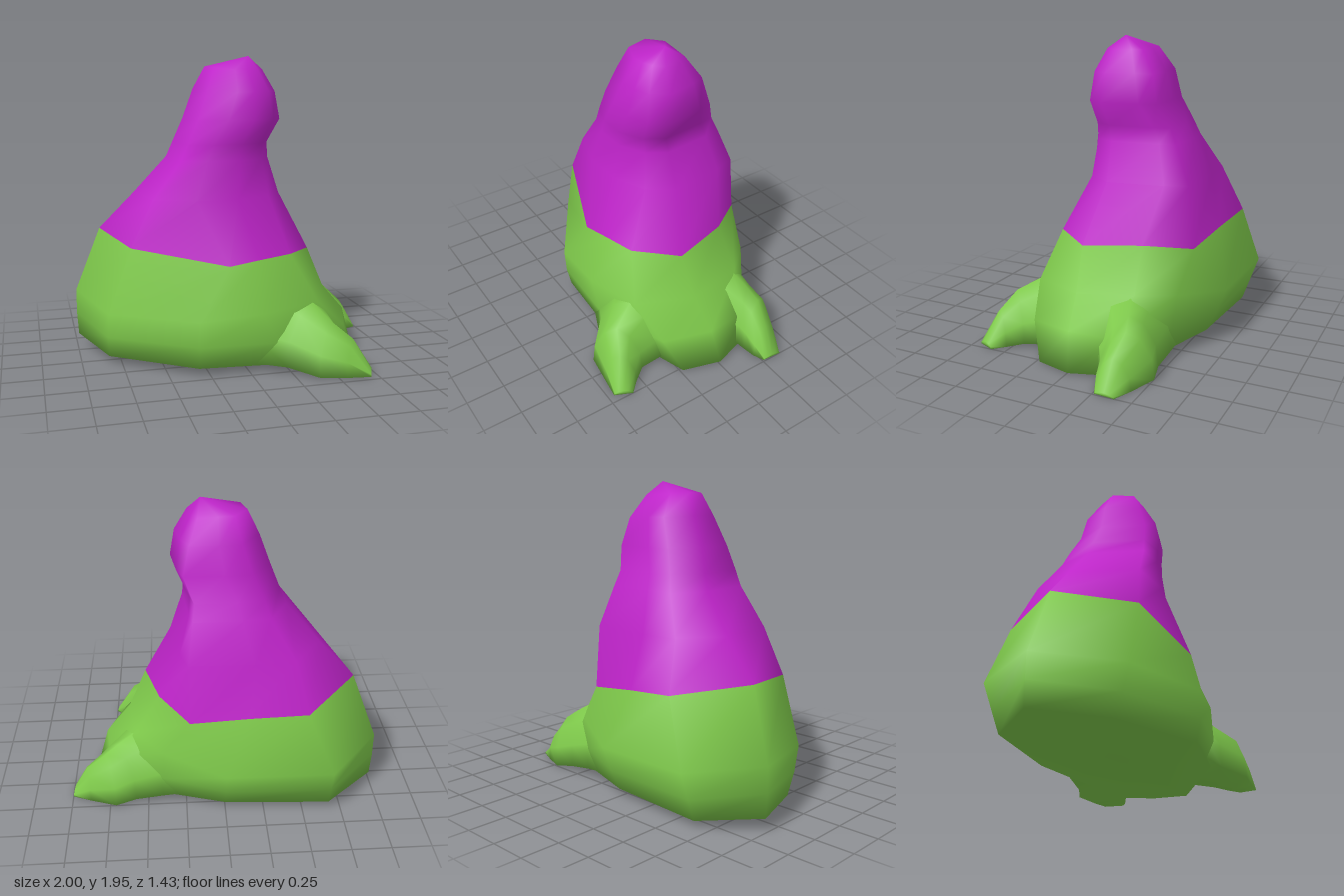
import * as THREE from 'three';

// Skin a stack of closed [x, y, z] loops, closed by a centre point at each end.
// The optional split is the loop index where the second material begins.
function loft(loops, start, end, split = loops.length) {
  const n = loops[0].length;
  const points = [...loops.flat(), start, end];
  const startId = points.length - 2, endId = points.length - 1;
  const index = [];
  for (let j = 0; j < n; j++) index.push(startId, j, (j + 1) % n);
  let splitAt = 0;
  for (let i = 0; i < loops.length - 1; i++) {
    if (i === split) splitAt = index.length;
    for (let j = 0; j < n; j++) {
      const a = i * n + j, b = i * n + (j + 1) % n;
      index.push(a, a + n, b, b, a + n, b + n);
    }
  }
  const last = (loops.length - 1) * n;
  for (let j = 0; j < n; j++) index.push(last + j, endId, last + (j + 1) % n);
  const geo = new THREE.BufferGeometry();
  geo.setAttribute('position', new THREE.Float32BufferAttribute(points.flat(), 3));
  geo.setIndex(index);
  geo.computeVertexNormals();
  if (splitAt) {
    geo.addGroup(0, splitAt, 0);
    geo.addGroup(splitAt, index.length - splitAt, 1);
  }
  return geo;
}

// Foot: each section is left x, z, right x, z of the sole, then sole and ridge heights.
function footGeometry(sections) {
  const arch = [[0, 0], [0.04, 0.42], [0.25, 0.83], [0.5, 1], [0.75, 0.83], [0.96, 0.42], [1, 0]];
  const loops = sections.map(([lx, lz, rx, rz, y0, y1]) => arch.map(([t, k]) =>
    [lx + (rx - lx) * t, y0 + (y1 - y0) * k, lz + (rz - lz) * t]));
  const centre = ([lx, lz, rx, rz, y0, y1]) => [(lx + rx) / 2, (y0 + y1) / 2, (lz + rz) / 2];
  return loft(loops, centre(sections[0]), centre(sections[sections.length - 1]));
}

export function createModel() {
  const green = new THREE.MeshStandardMaterial({ color: 0x7fca4b });
  green.name = 'leaf green';
  const purple = new THREE.MeshStandardMaterial({ color: 0xbf24ca });
  purple.name = 'purple';
  const group = new THREE.Group();

  // Lower body: sole, flank and widest loop
  const sole = [
    [-0.99, 0.09, -0.36], [-0.67, 0.06, -0.61], [0, 0.06, -0.57], [0.36, 0.06, -0.46], [0.79, 0.02, -0.2],
    [0.85, 0.02, -0.01], [0.77, 0.01, 0.23], [0.2, 0.05, 0.46], [-0.32, 0.06, 0.44], [-0.83, 0.06, 0.07]];
  const flank = [
    [-1, 0.24, -0.36], [-0.67, 0.2, -0.66], [0, 0.2, -0.64], [0.39, 0.21, -0.49], [0.75, 0.24, -0.26],
    [0.78, 0.25, 0.02], [0.67, 0.23, 0.32], [0.18, 0.2, 0.49], [-0.32, 0.2, 0.47], [-0.84, 0.2, 0.12]];
  const belly = [
    [-1, 0.4, -0.36], [-0.67, 0.37, -0.72], [0, 0.36, -0.7], [0.39, 0.43, -0.52], [0.57, 0.46, -0.32],
    [0.62, 0.43, 0.05], [0.46, 0.42, 0.4], [0.07, 0.39, 0.49], [-0.32, 0.36, 0.48], [-0.84, 0.36, 0.16]];

  // Upper body: the hem outline, [x, z, rise], turns into the boxier head outline,
  // stretched to each level's bounds
  const hem = [
    [0, 0.33, 0.1], [0.25, 0, 0.04], [0.52, 0.04, 0], [0.79, 0.08, -0.05], [0.93, 0.33, -0.01],
    [1, 0.68, -0.03], [0.85, 0.92, -0.01], [0.69, 0.96, -0.03], [0.54, 1, -0.05], [0.11, 0.79, 0.05]];
  const head = [
    [0, 0.35], [0.18, 0.03], [0.45, 0], [0.92, 0], [0.95, 0.17],
    [1, 0.66], [0.88, 0.86], [0.62, 1], [0.3, 1], [0.05, 0.91]];
  // y, back x, front x, right z, left z, share of the hem outline
  const levels = [
    [0.73, -0.84, 0.5, -0.64, 0.4, 1],
    [1.07, -0.61, 0.32, -0.53, 0.25, 0.2],
    [1.31, -0.4, 0.24, -0.42, 0.21, 0],
    [1.41, -0.36, 0.23, -0.38, 0.21, 0.1],
    [1.56, -0.3, 0.31, -0.32, 0.21, 0.3],
    [1.74, -0.23, 0.28, -0.29, 0.17, 0.6],
    [1.88, -0.16, 0.2, -0.19, 0.09, 0.6]];
  const upper = levels.map(([y, x0, x1, z0, z1, w]) => hem.map(([hu, hv, rise], i) => {
    const u = head[i][0] + (hu - head[i][0]) * w;
    const v = head[i][1] + (hv - head[i][1]) * w;
    return [x0 + (x1 - x0) * u, y + rise * w ** 4, z0 + (z1 - z0) * v];
  }));

  const body = new THREE.Mesh(
    loft([sole, flank, belly, ...upper], [0, 0.06, -0.05], [0.12, 1.96, -0.05], 3), [green, purple]);
  body.name = 'body';
  group.add(body);

  // Feet, from inside the body out to the toes
  const leftFoot = new THREE.Mesh(footGeometry([
    [0, 0.44, 0.6, 0.08, 0.07, 0.5],
    [0.22, 0.53, 0.62, 0.28, 0.05, 0.42],
    [0.38, 0.67, 0.61, 0.44, 0.02, 0.33],
    [0.55, 0.69, 0.68, 0.53, 0.01, 0.23],
    [0.7, 0.71, 0.75, 0.6, 0.01, 0.04]]), green);
  leftFoot.name = 'leftFoot';
  const rightFoot = new THREE.Mesh(footGeometry([
    [0.6, 0.1, 0.2, -0.48, 0.08, 0.52],
    [0.72, -0.1, 0.4, -0.49, 0.07, 0.46],
    [0.8, -0.19, 0.58, -0.48, 0.04, 0.38],
    [0.84, -0.21, 0.71, -0.51, 0.02, 0.32],
    [0.92, -0.23, 0.88, -0.44, 0.01, 0.2],
    [0.99, -0.26, 1, -0.39, 0.01, 0.03]]), green);
  rightFoot.name = 'rightFoot';
  group.add(leftFoot, rightFoot);
  return group;
}
